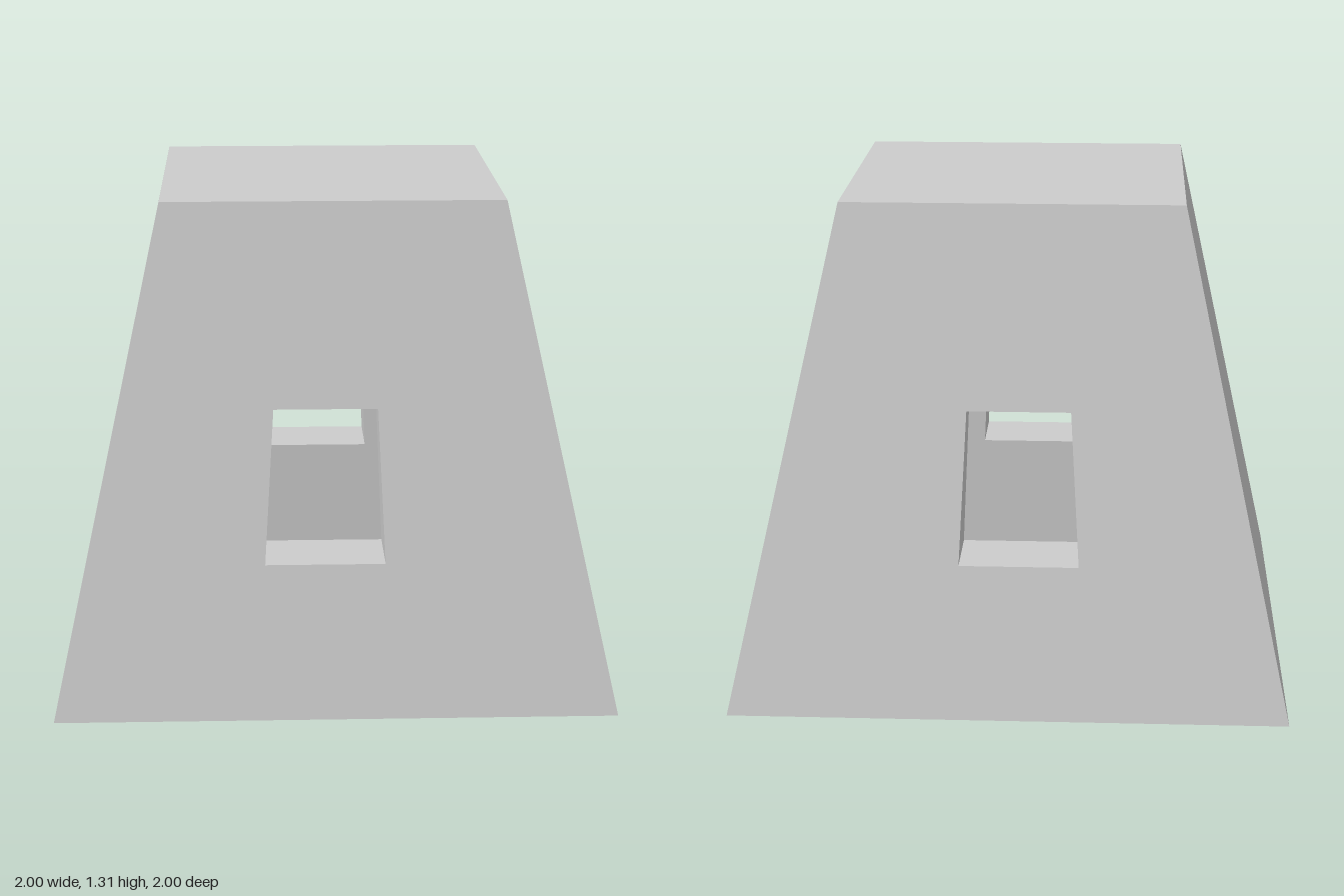
import * as THREE from 'three';

const H = 1.314, BASE = 0.735, TOP = 0.449; // outer height, half widths
const ROOM = 0.45, CEIL = 1.21;             // straight-walled inner room
const taper = (y) => 1 - (1 - TOP / BASE) * (y / H);
const outerDepth = (y) => BASE * taper(y);
const roomDepth = () => ROOM;

const material = new THREE.MeshStandardMaterial({
  color: 0xcccccc, flatShading: true, side: THREE.DoubleSide,
});

function addMesh(parent, geometry, name) {
  const mesh = new THREE.Mesh(geometry, material);
  mesh.name = name;
  parent.add(mesh);
}

// Opening corners, counter-clockwise, narrowing with the walls
function opening(x0, x1, y0, y1) {
  return [[x0, y0], [x1, y0], [x1, y1], [x0, y1]]
    .map(([x, y]) => new THREE.Vector2(x * taper(y), y));
}

// Wall panel with an optional opening; depth(y) sets how far out it lies
function wall(halfBottom, halfTop, height, hole, depth, inward) {
  const outline = [new THREE.Vector2(-halfBottom, 0)];
  const isDoor = hole && hole[0].y === 0;
  if (isDoor) outline.push(hole[0], hole[3], hole[2], hole[1]);
  outline.push(new THREE.Vector2(halfBottom, 0),
    new THREE.Vector2(halfTop, height), new THREE.Vector2(-halfTop, height));
  const shape = new THREE.Shape(outline);
  if (hole && !isDoor) shape.holes.push(new THREE.Path(hole));
  const geometry = new THREE.ShapeGeometry(shape);
  const p = geometry.attributes.position;
  for (let i = 0; i < p.count; i++) p.setZ(i, depth(p.getY(i)));
  if (inward) {
    const index = geometry.index.array;
    for (let i = 0; i < index.length; i += 3) {
      [index[i], index[i + 1]] = [index[i + 1], index[i]];
    }
  }
  geometry.computeVertexNormals();
  return geometry;
}

// Sill, jambs and lintel running from the outer wall to the room
function reveal(hole) {
  const points = [];
  hole.forEach((a, i) => {
    const b = hole[(i + 1) % hole.length];
    const ao = [a.x, a.y, outerDepth(a.y)], bo = [b.x, b.y, outerDepth(b.y)];
    const ai = [a.x, a.y, ROOM], bi = [b.x, b.y, ROOM];
    points.push(...ao, ...bo, ...bi, ...ao, ...bi, ...ai);
  });
  const geometry = new THREE.BufferGeometry();
  geometry.setAttribute('position', new THREE.Float32BufferAttribute(points, 3));
  geometry.computeVertexNormals();
  return geometry;
}

// Horizontal square slab face
function level(half, y, down) {
  return new THREE.PlaneGeometry(half * 2, half * 2)
    .rotateX(down ? Math.PI / 2 : -Math.PI / 2).translate(0, y, 0);
}

export function createModel() {
  const model = new THREE.Group();
  model.name = 'taperedHut';
  const hut = new THREE.Group();
  hut.name = 'hut';
  hut.rotation.y = -0.508;
  model.add(hut);

  const sides = [
    { name: 'frontWindow', turn: 0, hole: opening(-0.208, 0.146, 0.396, 0.79) },
    { name: 'door', turn: Math.PI / 2, hole: opening(-0.292, 0.222, 0, 0.79) },
    { name: 'backWindow', turn: Math.PI, hole: opening(-0.146, 0.208, 0.396, 0.79) },
    { name: 'blank', turn: -Math.PI / 2, hole: null },
  ];
  for (const { name, turn, hole } of sides) {
    const side = new THREE.Group();
    side.name = name + 'Side';
    side.rotation.y = turn;
    addMesh(side, wall(BASE, TOP, H, hole, outerDepth, false), name + 'OuterWall');
    addMesh(side, wall(ROOM, ROOM, CEIL, hole, roomDepth, true), name + 'RoomWall');
    if (hole) addMesh(side, reveal(hole), name + 'Reveal');
    hut.add(side);
  }

  addMesh(hut, level(TOP, H, false), 'roof');
  addMesh(hut, level(ROOM, CEIL, true), 'ceiling');
  addMesh(hut, level(ROOM, 0, false), 'floor');
  return model;
}
